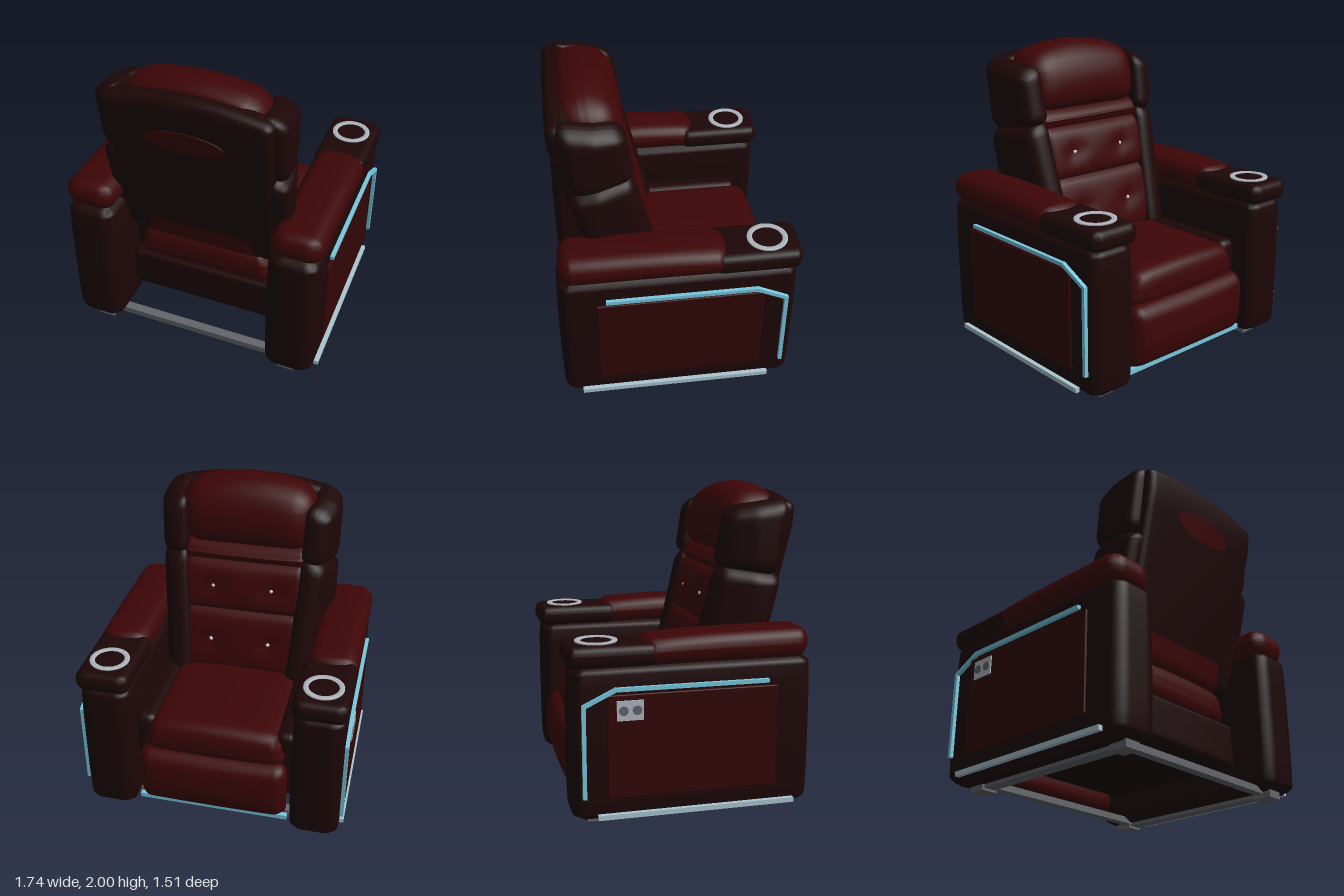
import * as THREE from 'three';
import { mergeVertices } from 'three/addons/utils/BufferGeometryUtils.js';

const material = (name, color) => {
  const m = new THREE.MeshStandardMaterial({ color });
  m.name = name;
  return m;
};

export function createModel() {
  const red = material('red leather', 0x3d0506);
  const deepRed = material('deep red panel', 0x310506);
  const dark = material('dark maroon leather', 0x1d0607);
  const blue = material('blue light', 0x78c8e0);
  const pale = material('pale trim', 0xabc6d0);
  const silver = material('silver', 0xb2b8c0);
  const metal = material('grey metal', 0x64666b);
  const white = material('white button', 0xd8d4d0);

  const chair = new THREE.Group();
  chair.name = 'reclinerChair';

  const add = (name, geometry, mat, x = 0, y = 0, z = 0) => {
    const mesh = new THREE.Mesh(geometry, mat);
    mesh.name = name;
    mesh.position.set(x, y, z);
    chair.add(mesh);
    return mesh;
  };

  // Upholstered block with rounded edges; warp(v, u) shapes it, u is -1..1 across it
  const pad = (name, mat, [w, h, d], r, [x, y, z], warp) => {
    const N = 16, t = 0.625;
    let g = new THREE.BoxGeometry(2, 2, 2, N, N, N);
    g.deleteAttribute('uv');
    g.deleteAttribute('normal');
    g = mergeVertices(g);
    const p = g.attributes.position;
    const half = [w / 2, h / 2, d / 2];
    const u = new THREE.Vector3(), v = new THREE.Vector3(), o = new THREE.Vector3();
    for (let i = 0; i < p.count; i++) {
      u.fromBufferAttribute(p, i);
      for (let k = 0; k < 3; k++) {
        const c = u.getComponent(k), a = Math.abs(c), s = Math.sign(c);
        v.setComponent(k, s * (half[k] - r) * Math.min(a / t, 1));
        o.setComponent(k, s * Math.max(0, (a - t) / (1 - t)));
      }
      v.addScaledVector(o.normalize(), r);
      if (warp) warp(v, u);
      p.setXYZ(i, v.x, v.y, v.z);
    }
    g.computeVertexNormals();
    return add(name, g, mat, x, y, z);
  };

  const crown = (a, b) => (1 - a * a) * (1 - b * b);

  // Straight square bar between two points
  const bar = (name, mat, a, b, thick) => {
    const A = new THREE.Vector3(...a), B = new THREE.Vector3(...b);
    const g = new THREE.BoxGeometry(thick, thick, A.distanceTo(B) + thick * 0.6);
    const mesh = add(name, g, mat);
    mesh.position.copy(A).add(B).multiplyScalar(0.5);
    mesh.lookAt(B);
  };

  // Seat, its frame and the folded footrest (the seat opens towards -z)
  pad('seatFrame', dark, [1.03, 0.28, 1.06], 0.03, [0, 0.35, -0.03]);
  pad('seatCushion', red, [0.93, 0.21, 1.12], 0.085, [0, 0.58, -0.07], (v, u) => {
    if (u.y > 0) v.y += 0.05 * u.y * crown(u.x, u.z * 0.5);
    v.x *= 1 - 0.03 * u.y;
    if (u.z < 0) v.z += 0.03 * (1 - u.x * u.x) * u.z;
  });
  pad('footrest', red, [0.98, 0.43, 0.17], 0.08, [0, 0.305, -0.625], (v, u) => {
    if (u.z < 0) {
      v.z += 0.03 * u.z * crown(u.x, u.y);
      if (u.y < 0) v.z += 0.04 * u.y * u.y;
    }
  });
  bar('frontLight', blue, [-0.49, 0.1, -0.64], [0.49, 0.1, -0.64], 0.032);

  // Stacked cushions of the leaning backrest, two of them tufted
  const backCushion = (name, size, r, pos, tufted) =>
    pad(name, red, size, r, pos, (v, u) => {
      if (u.z < 0) {
        v.z += 0.03 * u.z * crown(u.x, u.y);
        if (tufted) v.z -= 0.03 * u.z * Math.exp(-((Math.abs(v.x) - 0.2) ** 2 + v.y ** 2) / 0.004);
      }
      v.z += 0.22 * v.y;
    });
  backCushion('lowerBackCushion', [0.84, 0.46, 0.4], 0.07, [0, 0.91, 0.337], true);
  backCushion('upperBackCushion', [0.86, 0.37, 0.38], 0.07, [0, 1.285, 0.41], true);
  backCushion('neckRoll', [0.86, 0.14, 0.37], 0.06, [0, 1.505, 0.468], false);
  pad('headrest', red, [0.9, 0.46, 0.355], 0.15, [0, 1.77, 0.476], (v, u) => {
    if (u.z < 0) v.z += 0.025 * u.z * crown(u.x, u.y);
    v.z += 0.19 * v.y;
    if (v.y > 0) v.y -= 0.38 * v.x * v.x * (v.y / 0.23);
  });
  for (const x of [-0.2, 0.2]) {
    for (const [y, z] of [[0.91, 0.138], [1.285, 0.224]]) {
      add('tuftButton', new THREE.SphereGeometry(0.014, 10, 8), white, x, y, z);
    }
  }

  // Rear shell of the backrest with an oval inlay
  pad('backShell', dark, [1.04, 1.22, 0.16], 0.06, [0, 1.315, 0.555], (v, u) => {
    v.x *= 1 + 0.04 * u.y;
    if (v.y > 0) v.y += (0.025 - 0.24 * v.x * v.x) * (v.y / 0.61);
    else v.y -= (0.02 - 0.1 * (0.25 - v.x * v.x)) * (v.y / -0.61);
    v.z += 0.24 * Math.min(v.y, 0.45);
  });
  const oval = add('backOval', new THREE.CylinderGeometry(1, 1, 0.009, 48), red, 0, 1.65, 0.717);
  oval.scale.set(0.25, 1, 0.085);
  oval.rotation.x = Math.PI / 2 + Math.atan(0.24);

  for (const s of [-1, 1]) {
    // Side wings, splayed outwards and curling back in at the rear
    const wing = (name, [h, d], [y, z], lean, tilt) =>
      pad(name, dark, [0.175, h, d], 0.075, [0, y, z], (v, u) => {
        v.y += tilt * v.z * u.y - 0.35 * s * v.x * Math.max(0, u.y);
        v.z += lean * v.y;
        const depth = v.z + z;
        v.x += s * (0.422 + 0.28 * (depth - 0.12) - 0.3 * Math.max(0, depth - 0.47));
      });
    wing('lowerWing', [0.8, 0.42], [1.08, 0.35], 0.25, -0.15);
    wing('upperWing', [0.42, 0.4], [1.67, 0.46], 0.16, 0.15);
    pad('seatBolster', dark, [0.145, 0.42, 0.98], 0.055, [s * 0.467, 0.5, -0.09]);

    // Arm body, bulging like a barrel
    pad('armBody', dark, [0.26, 0.955, 1.41], 0.06, [s * 0.681, 0.515, 0.012], (v, u) => {
      const bulge = 1 - u.y ** 4;
      v.x += 0.035 * u.x * bulge * (1 - 0.6 * u.z ** 8);
      v.z += 0.038 * u.z * bulge;
    });
    const endTaper = (v, u) => { v.x *= 1 - 0.1 * u.z ** 8; };
    pad('armPad', red, [0.335, 0.185, 1.06], 0.085, [s * 0.69, 1.06, 0.205], (v, u) => {
      if (u.z > 0) endTaper(v, u);
      else {
        v.y += 0.035 * u.z * u.z * (u.y > 0 ? -1 : -0.3);
        v.z -= 0.03 * u.z * u.x * u.x;
      }
      if (u.y > 0) v.y += 0.008 * u.y * (u.z - u.x * u.x);
    });
    pad('armConsole', dark, [0.345, 0.135, 0.55], 0.055, [s * 0.682, 1.037, -0.477], (v, u) => {
      if (u.z < 0) endTaper(v, u);
    });

    // Cup holder
    const cup = new THREE.LatheGeometry(
      [[0.094, 0], [0.126, 0], [0.126, 0.012], [0.094, 0.012], [0.094, 0]]
        .map(([r, y]) => new THREE.Vector2(r, y)), 32);
    add('cupRing', cup, silver, s * 0.68, 1.102, -0.55);
    add('cupWell', new THREE.CylinderGeometry(0.096, 0.096, 0.006, 32), dark, s * 0.68, 1.104, -0.55);

    // Outer side panel and lighting trim
    pad('sidePanel', deepRed, [0.03, 0.63, 1.04], 0.008, [s * 0.847, 0.505, 0]);
    const path = [[0.85, 0.455], [0.85, -0.47], [0.76, -0.657], [0.21, -0.657]];
    for (let i = 0; i < 3; i++) {
      bar('sideLight', blue, [s * 0.857, ...path[i]], [s * 0.857, ...path[i + 1]], 0.024);
    }
    bar('lowerTrim', pale, [s * 0.853, 0.08, 0.63], [s * 0.853, 0.08, -0.57], 0.03);

    // Base rail and feet
    add('baseRail', new THREE.BoxGeometry(0.08, 0.03, 1.28), metal, s * 0.66, 0.03, 0.03);
    for (const z of [0.63, -0.56]) {
      add('foot', new THREE.BoxGeometry(0.11, 0.05, 0.12), metal, s * 0.66, 0.025, z);
    }
  }
  for (const z of [0.61, -0.52]) {
    add('crossRail', new THREE.BoxGeometry(1.4, 0.042, 0.06), metal, 0, 0.047, z);
  }

  // Control plate on one arm
  add('controlPlate', new THREE.BoxGeometry(0.012, 0.12, 0.16), silver, -0.863, 0.725, -0.385);
  for (const z of [-0.425, -0.345]) {
    const button = add('controlButton', new THREE.CylinderGeometry(0.028, 0.028, 0.008, 20), metal, -0.87, 0.725, z);
    button.rotation.z = Math.PI / 2;
  }
  return chair;
}
